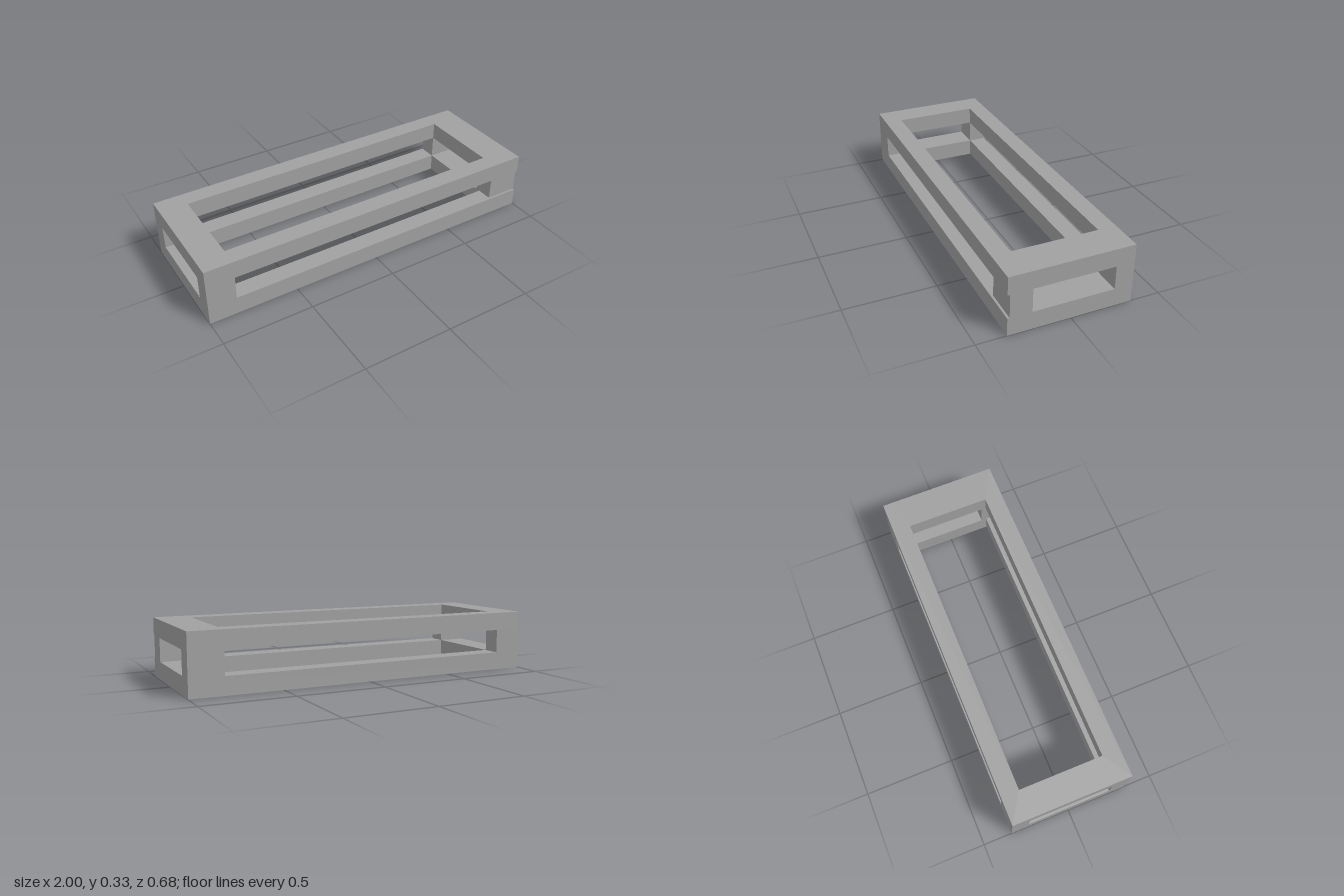
import * as THREE from 'three';

// Outer size and opening limits
const W = 1, D = 0.338, H = 0.332, RAIL = 0.1;
const IN_LEFT = -0.843, IN_RIGHT = 0.813, IN_Z = 0.237;

export function createModel() {
  const model = new THREE.Group();
  model.name = 'openFrame';
  const grey = new THREE.MeshStandardMaterial({ color: 0xa0a0a0 });
  grey.name = 'grey';

  // Flat rectangular ring, drawn in plan and laid down
  const shape = new THREE.Shape([[-W, -D], [W, -D], [W, D], [-W, D]].map(p => new THREE.Vector2(...p)));
  shape.holes.push(new THREE.Path(
    [[IN_LEFT, -IN_Z], [IN_LEFT, IN_Z], [IN_RIGHT, IN_Z], [IN_RIGHT, -IN_Z]].map(p => new THREE.Vector2(...p))));
  const ring = new THREE.ExtrudeGeometry(shape, { depth: RAIL, bevelEnabled: false }).rotateX(-Math.PI / 2);

  for (const [name, y] of [['bottomRing', 0], ['topRing', H - RAIL]]) {
    const mesh = new THREE.Mesh(ring, grey);
    mesh.name = name;
    mesh.position.y = y;
    model.add(mesh);
  }

  // Corner posts; one front post is thicker and set slightly back
  const posts = [
    ['backPostA', -W, IN_LEFT, -D, -IN_Z],
    ['backPostB', IN_RIGHT, W, -D, -IN_Z],
    ['frontPost', -W, IN_LEFT, IN_Z, D],
    ['recessedFrontPost', IN_RIGHT, W, 0.208, 0.326],
  ];
  for (const [name, x0, x1, z0, z1] of posts) {
    const mesh = new THREE.Mesh(new THREE.BoxGeometry(x1 - x0, H - 2 * RAIL, z1 - z0), grey);
    mesh.name = name;
    mesh.position.set((x0 + x1) / 2, H / 2, (z0 + z1) / 2);
    model.add(mesh);
  }
  return model;
}
